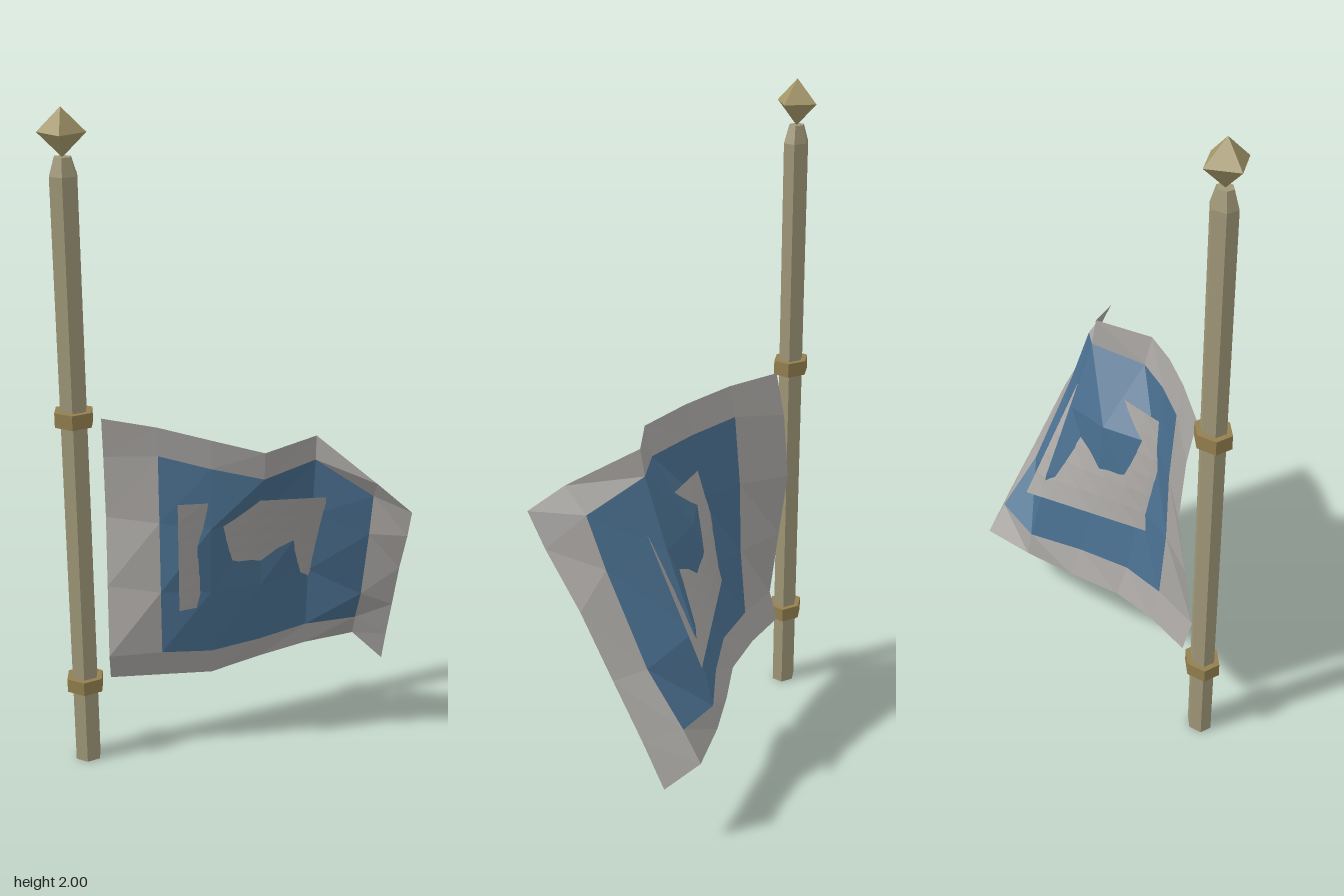
import * as THREE from 'three';

const material = (color, side = THREE.FrontSide) =>
  new THREE.MeshStandardMaterial({ color, flatShading: true, side });

const POLE_X = -0.437, POLE_Z = 0.02;

function addMesh(parent, name, geometry, mat, y = 0) {
  const mesh = new THREE.Mesh(geometry, mat);
  mesh.name = name;
  mesh.position.y = y;
  parent.add(mesh);
  return mesh;
}

// Six-sided prism, equally wide along x and z
function hexPrism(top, bottom, height) {
  return new THREE.CylinderGeometry(top, bottom, height, 6).scale(1.155, 1, 1);
}

// Cloth columns: x, then [y, z] from the top hem to the bottom hem
const COLUMNS = [
  [-0.36, [1.13, 0.02], [1.0, -0.01], [0.8, -0.03], [0.585, 0.0], [0.36, 0.03], [0.27, 0.0]],
  [-0.2, [1.125, 0.08], [1.03, 0.06], [0.81, 0.04], [0.58, 0.035], [0.365, 0.015], [0.27, -0.015]],
  [-0.05, [1.105, 0.13], [1.01, 0.11], [0.81, 0.085], [0.58, 0.035], [0.355, -0.01], [0.26, -0.045]],
  [0.1, [1.08, 0.165], [0.99, 0.14], [0.81, -0.005], [0.57, -0.03], [0.35, -0.09], [0.265, -0.13]],
  [0.25, [1.09, 0.06], [1.01, 0.045], [0.8, -0.03], [0.57, -0.125], [0.345, -0.19], [0.27, -0.205]],
  [0.41, [1.0, 0.2], [0.93, 0.125], [0.78, 0.06], [0.51, -0.08], [0.36, -0.205], [0.27, -0.265]],
  [0.5, [0.94, 0.26], [0.84, 0.2], [0.68, 0.08], [0.5, -0.03], [0.34, -0.13], [0.21, -0.205]],
].map(([x, ...rows]) => rows.map(([y, z]) => [x, y, z]));

// Two triangles for every grid cell that passes the test
function sheet(columns, test = () => true) {
  const positions = [];
  for (let i = 0; i < columns.length - 1; i++) {
    for (let j = 0; j < columns[i].length - 1; j++) {
      if (!test(i, j)) continue;
      const tl = columns[i][j], bl = columns[i][j + 1];
      const tr = columns[i + 1][j], br = columns[i + 1][j + 1];
      positions.push(...tl, ...bl, ...tr, ...bl, ...br, ...tr);
    }
  }
  const geometry = new THREE.BufferGeometry();
  geometry.setAttribute('position', new THREE.Float32BufferAttribute(positions, 3));
  geometry.computeVertexNormals();
  return geometry;
}

// Slightly twisted panel between four corners
function twistedPanel(topLeft, topRight, bottomLeft, bottomRight, steps) {
  const corner = (p) => new THREE.Vector3(...p);
  const columns = [];
  for (let i = 0; i <= steps; i++) {
    const top = corner(topLeft).lerp(corner(topRight), i / steps);
    const bottom = corner(bottomLeft).lerp(corner(bottomRight), i / steps);
    const column = [];
    for (let j = 0; j <= steps; j++) column.push(top.clone().lerp(bottom, j / steps).toArray());
    columns.push(column);
  }
  return sheet(columns);
}

export function createModel() {
  const model = new THREE.Group();
  model.name = 'flag';

  // Pole with tapered tip, finial and two rings
  const pole = new THREE.Group();
  pole.name = 'poleAssembly';
  pole.position.set(POLE_X, 0, POLE_Z);
  model.add(pole);
  const wood = material(0xa09878);
  const brass = material(0x94804f);
  addMesh(pole, 'pole', hexPrism(0.036, 0.036, 1.82), wood, 0.91);
  addMesh(pole, 'poleTip', hexPrism(0.022, 0.036, 0.05), wood, 1.845);
  addMesh(pole, 'finial', new THREE.OctahedronGeometry(0.066), material(0xa39669), 1.934);
  for (const y of [0.27, 1.135]) addMesh(pole, 'ring', hexPrism(0.052, 0.052, 0.044), brass, y);

  // Cloth: pale border around a blue field
  const cloth = new THREE.Group();
  cloth.name = 'cloth';
  model.add(cloth);
  const pale = material(0xa8a5a2, THREE.DoubleSide);
  const blue = material(0x4a7090, THREE.DoubleSide);
  const inField = (i, j) => i > 0 && i < 5 && j > 0 && j < 4;
  addMesh(cloth, 'clothBorder', sheet(COLUMNS, (i, j) => !inField(i, j)), pale);
  addMesh(cloth, 'clothField', sheet(COLUMNS, inField), blue);

  // Panel that weaves through the field
  addMesh(cloth, 'clothPanel', twistedPanel(
    [-0.145, 0.9, 0.11], [0.285, 0.885, 0.03],
    [-0.145, 0.53, 0.058], [0.29, 0.49, -0.18], 6), pale);

  return model;
}
